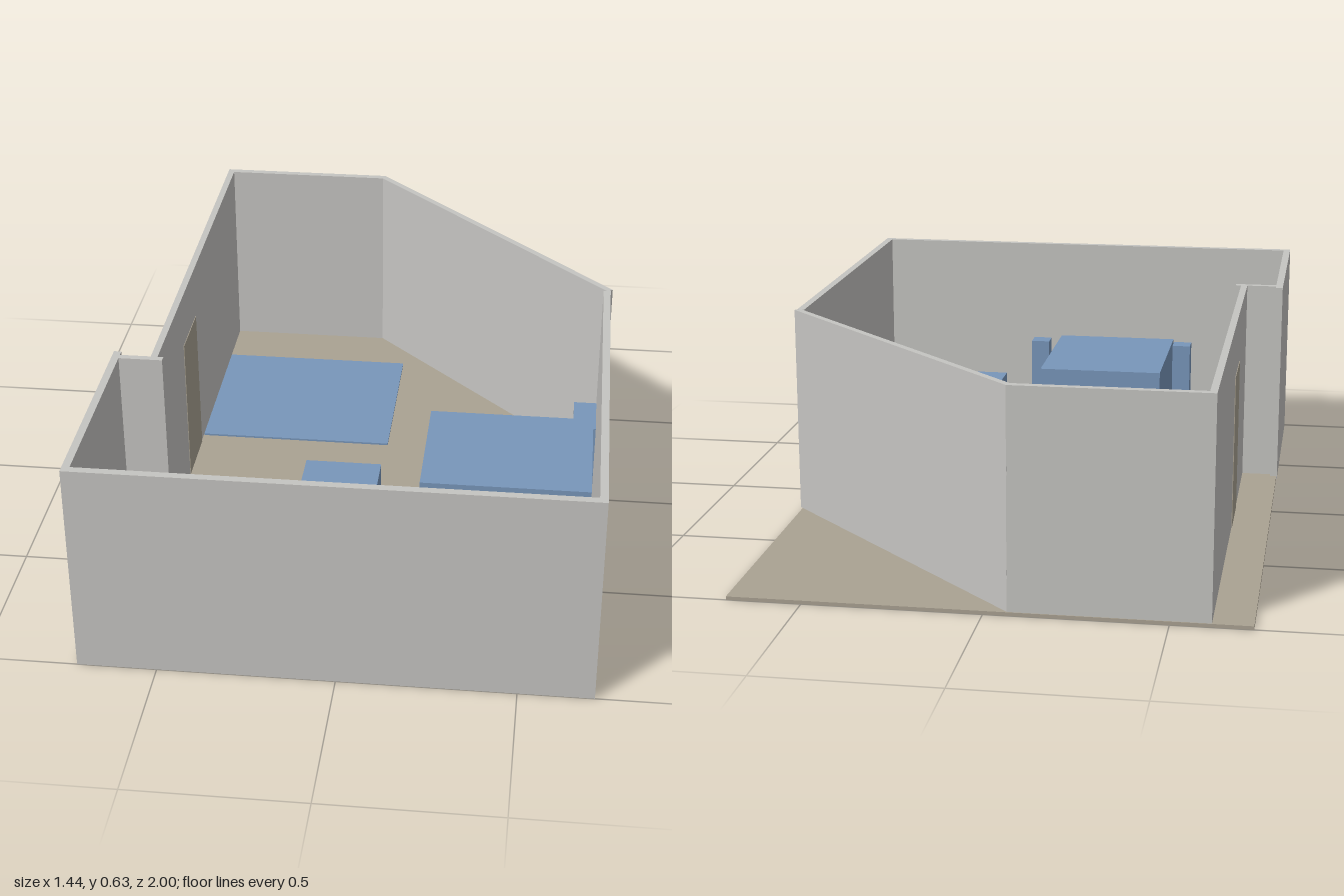
import * as THREE from 'three';

const wallPaint = new THREE.MeshStandardMaterial({ color: 0xc5c4c1 });
const woodTan = new THREE.MeshStandardMaterial({ color: 0xaaa292 });
const furnitureBlue = new THREE.MeshStandardMaterial({ color: 0x7896ba });

const FLOOR = 0.01, TOP = 0.635;

export function createModel() {
  const room = new THREE.Group();
  room.name = 'room';

  // Axis-aligned block given by its extents
  const block = (name, material, x0, x1, y0, y1, z0, z1) => {
    const mesh = new THREE.Mesh(new THREE.BoxGeometry(x1 - x0, y1 - y0, z1 - z0), material);
    mesh.position.set((x0 + x1) / 2, (y0 + y1) / 2, (z0 + z1) / 2);
    mesh.name = name;
    room.add(mesh);
    return mesh;
  };

  // Floor slab
  block('floor', woodTan, -0.723, 0.71, 0, FLOOR, -1, 0.998);

  // Straight walls: x0, x1, z0, z1, bottom
  const walls = [
    ['frontWall', -0.725, 0.712, 0.977, 1, 0],
    ['leftWall', 0.69, 0.712, -0.2, 0.977, 0],
    ['rightFrontWall', -0.725, -0.703, 0.34, 0.977, 0],
    ['stepWall', -0.703, -0.575, 0.36, 0.38, FLOOR],
    ['rightBackWall', -0.612, -0.592, -0.975, 0.36, FLOOR],
    ['backWall', -0.612, -0.065, -0.997, -0.975, FLOOR],
  ];
  for (const [name, x0, x1, z0, z1, y0] of walls) block(name, wallPaint, x0, x1, y0, TOP, z0, z1);

  // Diagonal wall across the back left corner
  const a = new THREE.Vector2(-0.073, -0.99), b = new THREE.Vector2(0.711, -0.203);
  const diagonal = new THREE.Mesh(
    new THREE.BoxGeometry(a.distanceTo(b), TOP - FLOOR, 0.02), wallPaint);
  diagonal.position.set((a.x + b.x) / 2, (TOP + FLOOR) / 2, (a.y + b.y) / 2);
  diagonal.rotation.y = -Math.atan2(b.y - a.y, b.x - a.x);
  diagonal.name = 'diagonalWall';
  room.add(diagonal);

  // Door panel, showing on both faces of its wall
  block('door', woodTan, -0.614, -0.59, FLOOR, 0.475, -0.2, 0);

  // Furniture: x0, x1, z0, z1, height
  const furniture = [
    ['rug', -0.59, 0.02, -0.785, -0.24, 0.016],
    ['bedByLeftWall', 0.18, 0.68, 0.015, 0.43, 0.3],
    ['bedByFrontWall', -0.325, 0.075, 0.48, 0.975, 0.305],
    ['lowTable', -0.195, 0.037, 0.135, 0.3, 0.17],
    ['leftCabinet', 0.62, 0.69, -0.19, 0.035 - 0.065, 0.24],
    ['cornerCabinet', 0.625, 0.69, 0.785, 0.92, 0.21],
    ['rightCabinet', -0.703, -0.63, 0.383, 0.54, 0.24],
    ['rightShelf', -0.703, -0.635, 0.585, 0.72, 0.21],
    ['rightCornerCabinet', -0.703, -0.63, 0.74, 0.97, 0.21],
  ];
  for (const [name, x0, x1, z0, z1, h] of furniture) block(name, furnitureBlue, x0, x1, FLOOR, h, z0, z1);

  // Small bedside stands in pairs
  for (const [x, z, h] of [[0.43, -0.03, 0.11], [0.43, 0.497, 0.11], [-0.37, 0.8, 0.33], [0.12, 0.8, 0.33]])
    block('bedsideStand', furnitureBlue, x - 0.03, x + 0.03, FLOOR, h, z - 0.03, z + 0.03);

  // Wooden items standing on the cabinets
  block('cornerBox', woodTan, 0.632, 0.672, 0.21, 0.26, 0.83, 0.875);
  block('shelfBox', woodTan, -0.685, -0.655, 0.21, 0.26, 0.592, 0.712);
  block('rightCornerBox', woodTan, -0.678, -0.64, 0.21, 0.26, 0.825, 0.88);

  return room;
}
